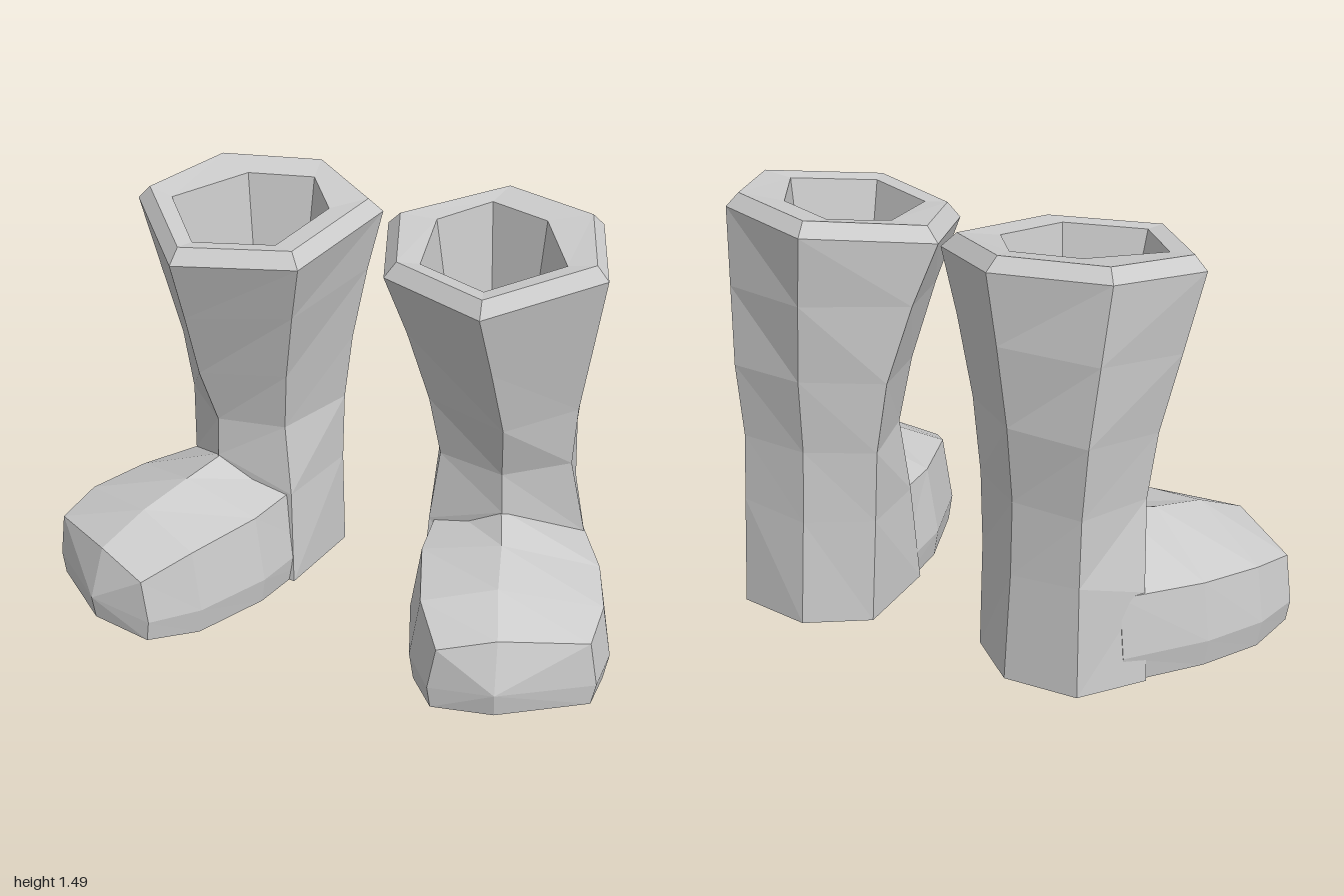
import * as THREE from 'three';

const material = new THREE.MeshStandardMaterial({ color: 0xcccccc, flatShading: true });

// Skin a list of equal-length closed rings; each end is capped by a fan to a centre point.
function loft(name, rings, mirrored, endPoint) {
  const n = rings[0].length;
  const average = (ring) => [0, 1, 2].map((k) => ring.reduce((s, p) => s + p[k], 0) / n);
  const last = rings.length - 1;
  const points = [...rings.flat(), average(rings[0]), endPoint || average(rings[last])];
  const startCentre = n * rings.length;
  const index = [];
  const tri = (a, b, c) => index.push(...(mirrored ? [a, c, b] : [a, b, c]));
  for (let j = 0; j < n; j++) {
    const k = (j + 1) % n;
    for (let i = 0; i < last; i++) {
      const a = i * n, b = a + n;
      tri(a + j, a + k, b + k);
      tri(a + j, b + k, b + j);
    }
    tri(startCentre, k, j);
    tri(startCentre + 1, last * n + j, last * n + k);
  }
  const side = mirrored ? -1 : 1;
  const geometry = new THREE.BufferGeometry();
  geometry.setAttribute('position', new THREE.Float32BufferAttribute(
    points.flatMap(([x, y, z]) => [x * side, y, z]), 3));
  geometry.setIndex(index);
  const flat = geometry.toNonIndexed();
  flat.computeVertexNormals();
  const mesh = new THREE.Mesh(flat, material);
  mesh.name = name;
  return mesh;
}

// Plans are six [x, z] corners: front, inner front, inner back, back, outer back, outer front
const heelPlan = [[-0.05, 0.1], [0.24, 0.05], [0.18, -0.3], [-0.05, -0.39], [-0.3, -0.29], [-0.37, -0.04]];
const anklePlan = [[-0.055, 0.13], [0.215, 0.03], [0.19, -0.28], [-0.045, -0.36], [-0.29, -0.28], [-0.34, -0.03]];
const ankleHeights = [0.47, 0.36, 0.38, 0.38, 0.4, 0.32];
const shinPlan = [[-0.05, 0.13], [0.18, 0.02], [0.2, -0.28], [-0.04, -0.35], [-0.285, -0.27], [-0.285, 0.02]];
const calfPlan = [[-0.055, 0.21], [0.22, 0.05], [0.24, -0.28], [-0.04, -0.375], [-0.31, -0.27], [-0.3, 0.05]];
const rimPlan = [[0.02, 0.4], [0.37, 0.14], [0.34, -0.33], [0, -0.43], [-0.34, -0.21], [-0.38, 0.16]];
const holePlan = [[0.02, 0.29], [0.25, 0.12], [0.23, -0.17], [0.05, -0.29], [-0.15, -0.16], [-0.24, 0.13]];

// Rings on a plane that rises to the back and to the outer side
const tilted = (plan, y, back, outer = 0) => plan.map(([x, z]) => [x, y - back * z - outer * x, z]);
const scaled = (plan, s, shift = 0) => plan.map(([x, z]) => [x * s, z * s + shift]);
const blended = (a, b, t) => a.map((p, j) => p.map((v, k) => THREE.MathUtils.lerp(v, b[j][k], t)));

// innerBack shifts the inner back corner of the rim by [x, z]
function shaftRings(innerBack) {
  const rim = rimPlan.map(([x, z], j) => (j === 2 ? [x + innerBack[0], z + innerBack[1]] : [x, z]));
  return [
    tilted(heelPlan, 0, 0),
    anklePlan.map(([x, z], j) => [x, ankleHeights[j], z]),
    tilted(shinPlan, 0.63, 0.04),
    tilted(calfPlan, 0.87, 0.12),
    tilted(blended(calfPlan, rim, 0.5), 1.15, 0.12),
    tilted(rim, 1.405, 0.1, 0.07),
    tilted(scaled(rim, 0.89), 1.455, 0.1, 0.07),
    // opening and inner floor
    tilted(holePlan, 1.445, 0.1, 0.07),
    tilted(scaled(holePlan, 0.6, -0.04), 0.8, 0),
  ];
}

// Foot stations from ankle to toe: outer, ridge and inner points as [x, top y, z]
const footStations = [
  { outer: [-0.34, 0.32, -0.12], ridge: [-0.05, 0.47, 0.11], inner: [0.215, 0.36, -0.08], lift: 0 },
  { outer: [-0.44, 0.31, 0.18], ridge: [-0.07, 0.43, 0.28], inner: [0.255, 0.35, 0.22], lift: 0 },
  { outer: [-0.47, 0.3, 0.41], ridge: [-0.08, 0.39, 0.49], inner: [0.22, 0.33, 0.51], lift: 0 },
  { outer: [-0.435, 0.27, 0.59], ridge: [-0.1, 0.31, 0.68], inner: [0.135, 0.26, 0.69], lift: 0.02 },
];

function footRing({ outer, ridge, inner, lift }) {
  const pull = (p, t, y) => [THREE.MathUtils.lerp(p[0], ridge[0], t), y, p[2]];
  return [
    pull(inner, 0.05, lift), pull(inner, 0, 0.1), pull(inner, 0.12, inner[1]),
    ridge,
    pull(outer, 0.08, outer[1]), pull(outer, 0, 0.1), pull(outer, 0.05, lift),
    [ridge[0], lift * 2, ridge[2] + lift * 2.5],
  ];
}

function makeBoot(name, mirrored, innerBack) {
  const boot = new THREE.Group();
  boot.name = name;
  boot.add(loft('shaft', shaftRings(innerBack), mirrored));
  boot.add(loft('foot', footStations.map(footRing), mirrored, [-0.1, 0.13, 0.745]));
  return boot;
}

export function createModel() {
  const model = new THREE.Group();
  model.name = 'pairOfBoots';

  const right = makeBoot('rightBoot', false, [0, 0]);
  right.position.set(-0.53, 0, 0);

  // the left boot mirrors the right one and is turned outward
  const left = makeBoot('leftBoot', true, [0.065, 0.11]);
  left.position.set(0.322, 0, -0.333);
  left.rotation.y = THREE.MathUtils.degToRad(33);

  model.add(right, left);
  return model;
}
